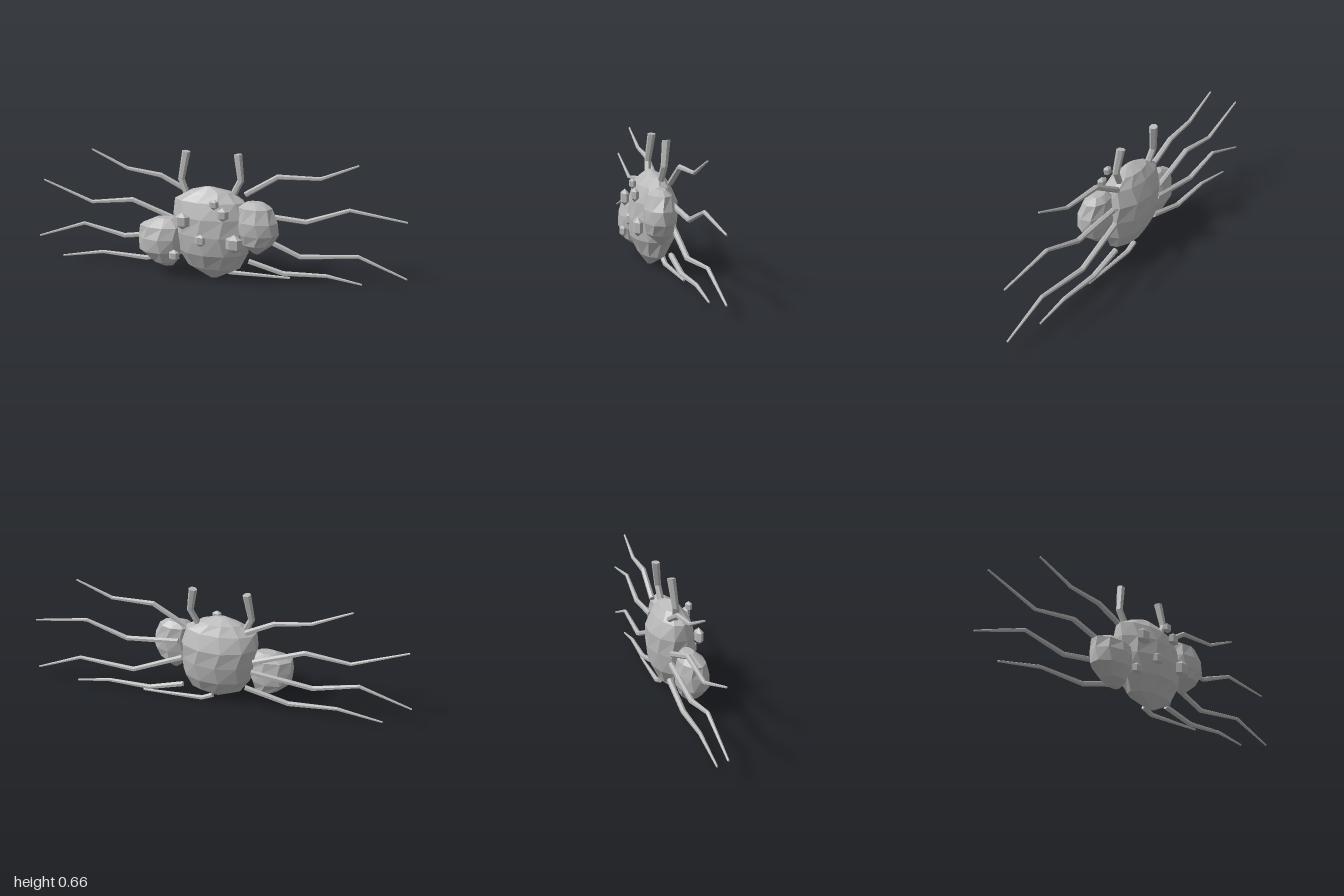
import * as THREE from 'three';

const grey = new THREE.MeshStandardMaterial({ color: 0xb8b8b8, flatShading: true });
grey.name = 'stone grey';

// Skin a stack of equal-length rings and close both ends
function skin(rings) {
  const n = rings[0].length, pos = [], index = [];
  rings.forEach(r => r.forEach(p => pos.push(...p)));
  for (let i = 0; i < rings.length - 1; i++) {
    for (let j = 0; j < n; j++) {
      const a = i * n + j, b = i * n + (j + 1) % n;
      index.push(a, a + n, b, b, a + n, b + n);
    }
  }
  const last = (rings.length - 1) * n;
  for (let j = 1; j < n - 1; j++) {
    index.push(0, j, j + 1, last, last + j + 1, last + j);
  }
  const g = new THREE.BufferGeometry();
  g.setAttribute('position', new THREE.Float32BufferAttribute(pos, 3));
  g.setIndex(index);
  const flat = g.toNonIndexed();
  flat.computeVertexNormals();
  return flat;
}

// Faceted blob from rows of [y, xMin, xMax, zBack, zFront]
function blob(rows, sides) {
  return skin(rows.map(([y, x0, x1, z0, z1], i) =>
    Array.from({ length: sides }, (_, j) => {
      const a = (j + (i % 2) * 0.2) / sides * Math.PI * 2;
      return [(x0 + x1) / 2 + Math.cos(a) * (x1 - x0) / 2, y,
        (z0 + z1) / 2 + Math.sin(a) * (z1 - z0) / 2];
    })));
}

// Tapered, bent limb through points, with a radius at each point
function limb(points, radii, sides) {
  const p = points.map(q => new THREE.Vector3(...q));
  return skin(p.map((c, i) => {
    const d = p[Math.min(i + 1, p.length - 1)].clone().sub(p[Math.max(i - 1, 0)]).setZ(0).normalize();
    return Array.from({ length: sides }, (_, j) => {
      const a = j / sides * Math.PI * 2, r = radii[i];
      return [c.x + d.y * Math.cos(a) * r, c.y - d.x * Math.cos(a) * r, c.z + Math.sin(a) * r];
    });
  }));
}

export function createModel() {
  const model = new THREE.Group();
  model.name = 'bug';
  const add = (name, geometry) => {
    const mesh = new THREE.Mesh(geometry, grey);
    mesh.name = name;
    model.add(mesh);
    return mesh;
  };

  // Body
  add('body', blob([
    [0.005, -0.01, 0.03, -0.005, 0.02],
    [0.065, -0.13, 0.15, -0.07, 0.065],
    [0.15, -0.18, 0.19, -0.115, 0.105],
    [0.25, -0.2, 0.2, -0.13, 0.115],
    [0.34, -0.21, 0.2, -0.13, 0.105],
    [0.42, -0.2, 0.17, -0.095, 0.075],
    [0.465, -0.12, 0.1, -0.065, 0.035],
    [0.49, -0.04, 0.01, -0.01, 0.008],
  ], 11));

  // Side lobes
  add('leftLobe', blob([
    [0.155, 0.22, 0.25, -0.005, 0.015],
    [0.215, 0.15, 0.32, -0.05, 0.085],
    [0.27, 0.13, 0.352, -0.055, 0.097],
    [0.335, 0.13, 0.347, -0.055, 0.097],
    [0.405, 0.14, 0.315, -0.045, 0.075],
    [0.43, 0.18, 0.27, -0.015, 0.03],
  ], 9));
  add('rightLobe', blob([
    [0.05, -0.27, -0.21, -0.005, 0.03],
    [0.08, -0.32, -0.185, -0.035, 0.075],
    [0.14, -0.387, -0.16, -0.06, 0.105],
    [0.21, -0.39, -0.15, -0.06, 0.105],
    [0.27, -0.385, -0.15, -0.05, 0.085],
    [0.31, -0.3, -0.2, -0.02, 0.035],
  ], 9));

  // Legs, from body to tip
  const legs = [
    [[-0.15, 0.445], [-0.29, 0.515], [-0.473, 0.54], [-0.67, 0.63]],
    [[-0.19, 0.275], [-0.45, 0.37], [-0.68, 0.34], [-0.955, 0.443]],
    [[-0.18, 0.215], [-0.5, 0.165], [-0.73, 0.215], [-0.999, 0.12]],
    [[-0.15, 0.115], [-0.38, 0.05], [-0.63, 0.06], [-0.865, 0.016]],
    [[0.16, 0.445], [0.325, 0.55], [0.54, 0.555], [0.725, 0.635]],
    [[0.2, 0.345], [0.475, 0.325], [0.69, 0.405], [0.975, 0.365]],
    [[0.18, 0.25], [0.45, 0.135], [0.745, 0.165], [0.99, 0.068]],
    [[0.18, 0.085], [0.365, 0.035], [0.59, 0.045], [0.77, 0.016]],
  ];
  const radii = [0.015, 0.014, 0.01, 0.005];
  legs.forEach((leg, i) => add((i < 4 ? 'rightLeg' : 'leftLeg') + (i % 4 + 1),
    limb(leg.map(([x, y]) => [x, y, -0.057]), radii, 6)));
  add('stubLeg', limb([[0.02, 0.04, -0.057], [0.08, 0.013, -0.057], [0.4, 0.014, -0.057]],
    [0.014, 0.013, 0.006], 6));

  // Horns
  const hornRadii = [0.018, 0.018, 0.022];
  add('rightHorn', limb([[-0.13, 0.41, -0.02], [-0.173, 0.51, -0.032], [-0.15, 0.655, -0.048]], hornRadii, 6));
  add('leftHorn', limb([[0.085, 0.41, -0.02], [0.14, 0.525, -0.032], [0.12, 0.655, -0.048]], hornRadii, 6));

  // Warts on the front
  const warts = [
    [-0.13, 0.33, 0.045], [0.035, 0.43, 0.028], [0.08, 0.38, 0.036],
    [-0.035, 0.235, 0.036], [0.14, 0.23, 0.05], [-0.175, 0.14, 0.032],
  ];
  const wartShape = new THREE.SphereGeometry(1, 6, 3);
  warts.forEach(([x, y, r], i) => {
    const wart = add('wart' + (i + 1), wartShape);
    wart.position.set(x, y, 0.103);
    wart.scale.set(r, r, 0.01 + r * 0.35);
  });
  return model;
}
